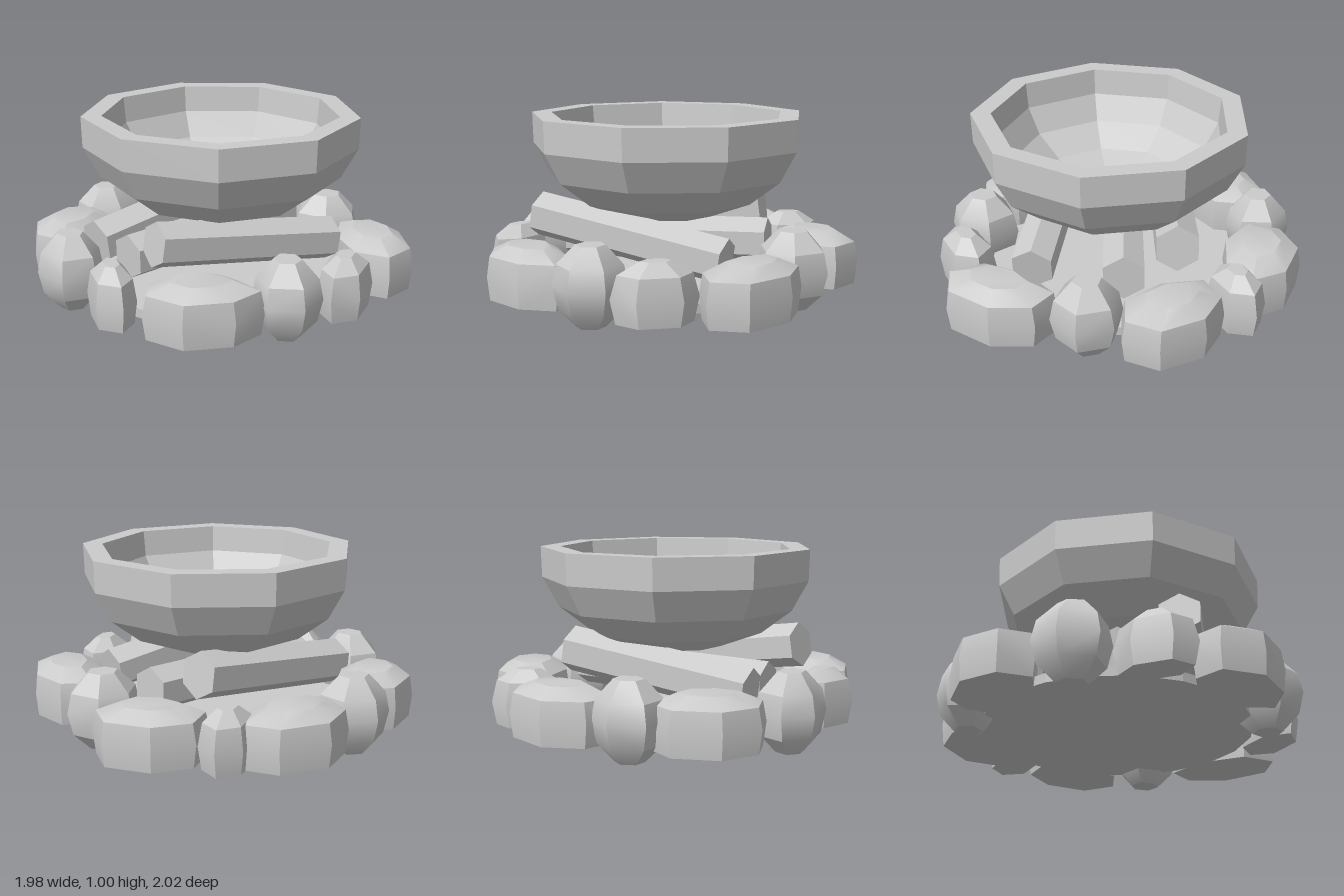
import * as THREE from 'three';
import { toCreasedNormals } from 'three/addons/utils/BufferGeometryUtils.js';
import { ConvexGeometry } from 'three/addons/geometries/ConvexGeometry.js';

const flat = new THREE.MeshStandardMaterial({ color: 0xcccccc, flatShading: true });
const smooth = new THREE.MeshStandardMaterial({ color: 0xcccccc });

// Stone kinds: number of sides, and profile as [height, scale of the outline]
const SLAB = { sides: 7, profile: [[0.075, 0.94], [0.2, 1], [0.31, 0.93], [0.365, 0.5]] };
const SMALL = { sides: 6, profile: [[0.075, 0.88], [0.2, 1], [0.32, 0.85], [0.385, 0.35]] };
const ROUND = { sides: 6, profile: [[0.01, 0.4], [0.1, 0.85], [0.22, 1], [0.33, 0.88], [0.43, 0.4]] };

// Name, kind, x, z, half length, half width, direction of the length in degrees from +x to +z
const STONES = [
  ['backStone', SLAB, 0.12, -0.79, 0.31, 0.21, 2],
  ['backRightSmallStone', SMALL, 0.46, -0.7, 0.2, 0.13, -38],
  ['backRightStone', SLAB, 0.73, -0.4, 0.29, 0.21, 46],
  ['rightRoundStone', ROUND, 0.77, 0.03, 0.19, 0.19, 5],
  ['frontRightStone', SLAB, 0.74, 0.51, 0.31, 0.2, 108],
  ['frontSmallStone', SMALL, 0.36, 0.8, 0.22, 0.13, 142],
  ['frontRoundStone', ROUND, 0, 0.81, 0.19, 0.18, 95],
  ['frontLeftStone', SLAB, -0.44, 0.7, 0.3, 0.2, 31],
  ['leftSmallStone', SMALL, -0.75, 0.33, 0.21, 0.12, 98],
  ['leftRoundStone', ROUND, -0.81, -0.07, 0.2, 0.17, 70],
  ['backLeftStone', SLAB, -0.62, -0.51, 0.29, 0.21, -37],
  ['backRoundStone', ROUND, -0.3, -0.74, 0.18, 0.19, -95],
];

// Convex boulder: a slightly uneven polygon stacked along the profile
function stone(name, { sides, profile }, x, z, length, width, degrees) {
  const cloud = [];
  for (const [y, scale] of profile) {
    for (let i = 0; i < sides; i++) {
      const angle = (i / sides) * Math.PI * 2;
      const r = scale * (1.04 + 0.06 * Math.sin(i * 2.4 + x * 9));
      cloud.push(new THREE.Vector3(Math.cos(angle) * length * r, y, Math.sin(angle) * width * r));
    }
  }
  const mesh = new THREE.Mesh(toCreasedNormals(new ConvexGeometry(cloud), 0.5), smooth);
  mesh.name = name;
  mesh.position.set(x, 0, z);
  mesh.rotation.y = -THREE.MathUtils.degToRad(degrees);
  return mesh;
}

// Six-sided log between two points
function log(name, from, to, radius) {
  const a = new THREE.Vector3(...from), b = new THREE.Vector3(...to);
  const geo = new THREE.CylinderGeometry(radius, radius, a.distanceTo(b), 6).rotateX(Math.PI / 2);
  const mesh = new THREE.Mesh(geo, flat);
  mesh.name = name;
  mesh.position.copy(a).add(b).multiplyScalar(0.5);
  mesh.lookAt(b);
  return mesh;
}

export function createModel() {
  const model = new THREE.Group();
  model.name = 'firePitWithBowl';

  // Ring of stones
  const ring = new THREE.Group();
  ring.name = 'stoneRing';
  for (const s of STONES) ring.add(stone(...s));
  model.add(ring);

  // Flat ground disc inside the ring
  const base = new THREE.Mesh(new THREE.CylinderGeometry(0.74, 0.74, 0.05, 20), flat);
  base.name = 'base';
  base.position.y = 0.1;
  model.add(base);

  // Logs under the bowl
  model.add(
    log('frontLog', [-0.55, 0.475, 0.42], [0.54, 0.31, 0.38], 0.122),
    log('backLog', [0.43, 0.455, -0.38], [-0.62, 0.31, -0.16], 0.128),
    log('middleLog', [-0.55, 0.3, 0.1], [0.57, 0.33, -0.12], 0.125),
  );

  // Nine-sided bowl: outside from the bottom up, over the rim, down the inside
  const profile = [
    [0, 0.44], [0.26, 0.465], [0.49, 0.55], [0.66, 0.68], [0.75, 0.845], [0.755, 1.015],
    [0.645, 1.015], [0.63, 0.87], [0.55, 0.73], [0.4, 0.62], [0.21, 0.55], [0, 0.53],
  ].map(([r, y]) => new THREE.Vector2(r, y));
  const bowl = new THREE.Mesh(new THREE.LatheGeometry(profile, 9, Math.PI / 2), flat);
  bowl.name = 'bowl';
  bowl.position.set(0.04, 0, 0.05);
  model.add(bowl);

  return model;
}
